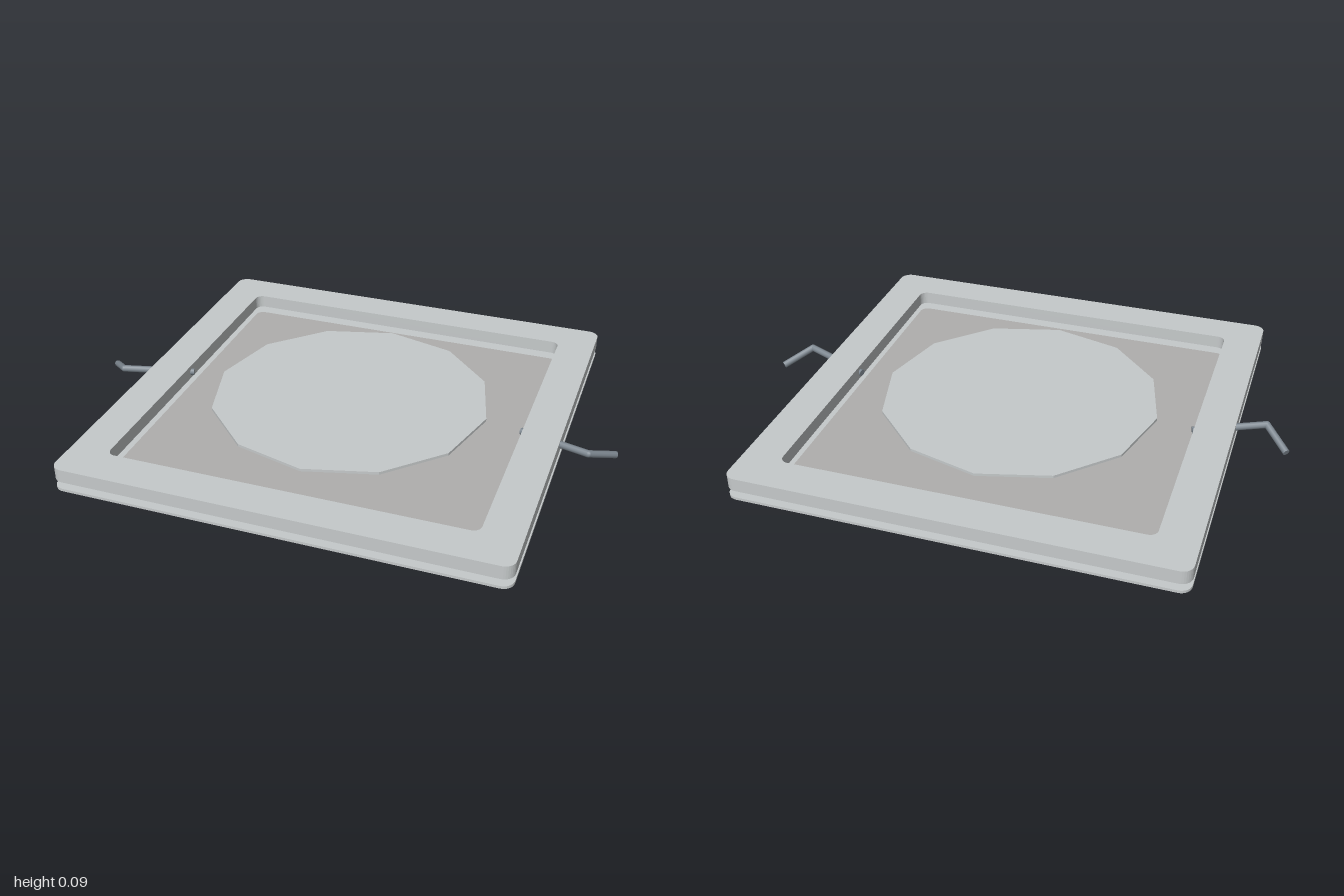
import * as THREE from 'three';

const paint = (color, flat = true) => new THREE.MeshStandardMaterial({ color, flatShading: flat });
const light = paint(0xc6cacb), panelGrey = paint(0xb0afae), steel = paint(0x7d8790, false);

// Square outline with small rounded corners
function roundedSquare(Type, half, r) {
  const p = new Type();
  const c = half - r;
  p.absarc(c, c, r, 0, Math.PI / 2);
  p.absarc(-c, c, r, Math.PI / 2, Math.PI);
  p.absarc(-c, -c, r, Math.PI, Math.PI * 1.5);
  p.absarc(c, -c, r, Math.PI * 1.5, Math.PI * 2);
  p.closePath();
  return p;
}

// Flat slab lying between two heights, optionally with a square opening
function slab(name, half, r, y0, y1, material, holeHalf) {
  const shape = roundedSquare(THREE.Shape, half, r);
  if (holeHalf) shape.holes.push(roundedSquare(THREE.Path, holeHalf, 0.03));
  const geo = new THREE.ExtrudeGeometry(shape, { depth: y1 - y0, bevelEnabled: false, curveSegments: 4 });
  geo.rotateX(-Math.PI / 2);
  geo.translate(0, y0, 0);
  const mesh = new THREE.Mesh(geo, material);
  mesh.name = name;
  return mesh;
}

// Straight rod between two points
function rod(name, a, b, radius) {
  const dir = b.clone().sub(a);
  const mesh = new THREE.Mesh(new THREE.CylinderGeometry(radius, radius, dir.length(), 10), steel);
  mesh.name = name;
  mesh.position.copy(a).add(b).multiplyScalar(0.5);
  mesh.quaternion.setFromUnitVectors(new THREE.Vector3(0, 1, 0), dir.normalize());
  return mesh;
}

export function createModel() {
  const model = new THREE.Group();
  model.name = 'framedPlate';

  // Raised frame floating just above the thin base
  model.add(slab('frame', 0.8, 0.04, 0.037, 0.087, light, 0.66));

  // Base sheet: border and inset panel
  model.add(slab('baseBorder', 0.8, 0.04, 0, 0.01, light, 0.66));
  model.add(slab('basePanel', 0.66, 0.03, 0, 0.01, panelGrey));

  // Twelve-sided disc level with the frame's top
  const disc = new THREE.Mesh(new THREE.CylinderGeometry(0.52, 0.52, 0.01, 12), light);
  disc.name = 'disc';
  disc.position.y = 0.08;
  model.add(disc);

  // Bent rod handle on each side, passing through the frame
  const radius = 0.013;
  for (const side of [1, -1]) {
    const handle = new THREE.Group();
    handle.name = side > 0 ? 'leftHandle' : 'rightHandle';
    const inner = new THREE.Vector3(side * 0.65, 0.06, 0);
    const elbow = new THREE.Vector3(side * 0.905, 0.077, 0.093);
    const tip = new THREE.Vector3(side * 0.99, 0.034, 0);
    handle.add(rod('shaft', inner, elbow, radius), rod('grip', elbow, tip, radius));
    const joint = new THREE.Mesh(new THREE.SphereGeometry(radius, 10, 8), steel);
    joint.name = 'elbow';
    joint.position.copy(elbow);
    handle.add(joint);
    model.add(handle);
  }
  return model;
}
